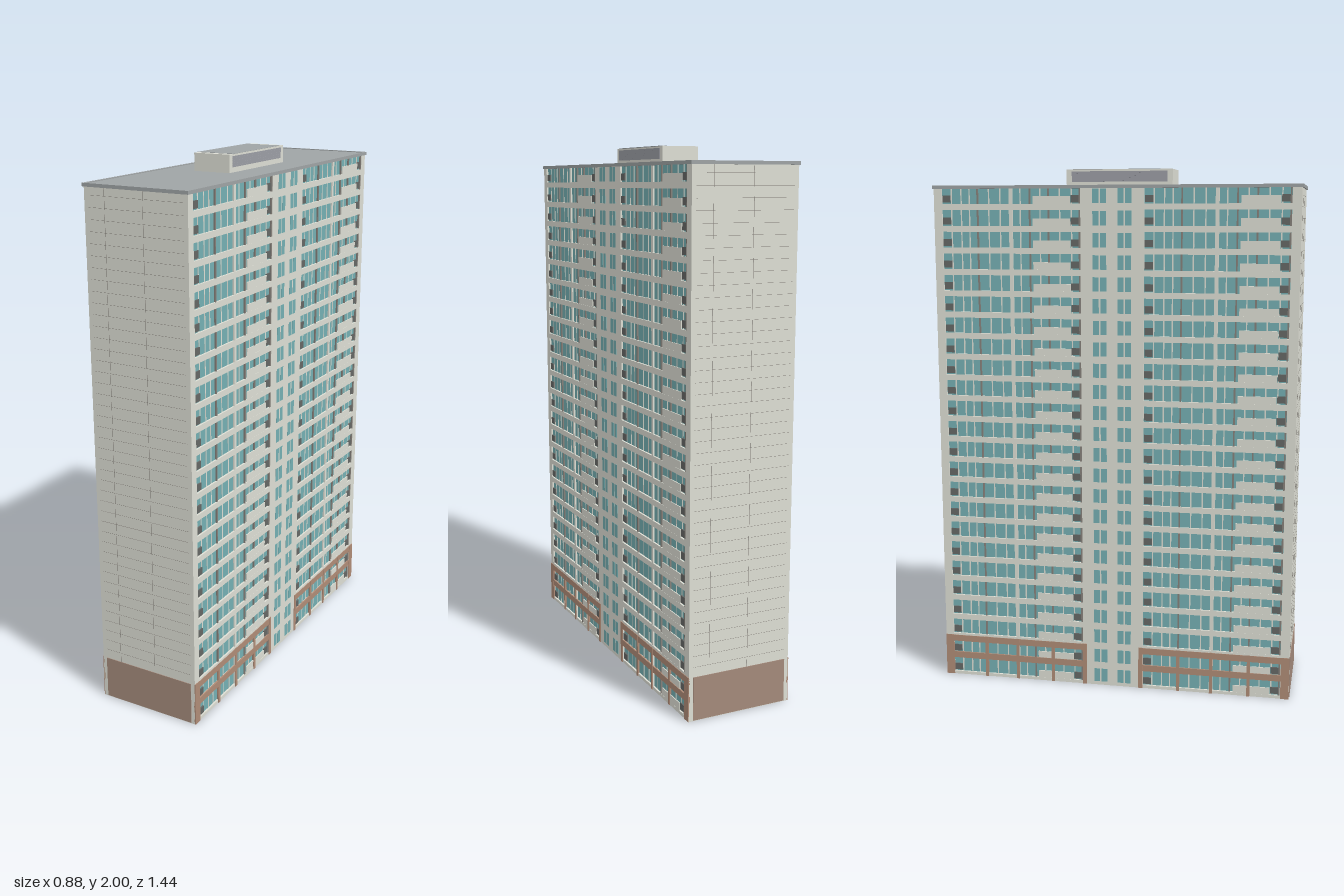
import * as THREE from 'three';
import { mergeGeometries } from 'three/addons/utils/BufferGeometryUtils.js';

const W = 0.405, L = 1.374, TOP = 1.926;     // body width, length, wall height
const FLOORS = 24, PITCH = 0.0808;
const RECESS = 0.008;                        // depth of the window bays
const FACE = W / 2;

const material = (name, color) => {
  const m = new THREE.MeshStandardMaterial({ color });
  m.name = name;
  return m;
};

// Box given by its lower and upper limits on each axis
function box(x0, x1, y0, y1, z0, z1) {
  const g = new THREE.BoxGeometry(x1 - x0, y1 - y0, z1 - z0);
  g.translate((x0 + x1) / 2, (y0 + y1) / 2, (z0 + z1) / 2);
  return g;
}

export function createModel() {
  const wall = material('pale wall', 0xdedfd5);
  const glass = material('teal glass', 0x75b0b3);
  const brick = material('brick base', 0xa48a7b);
  const timber = material('brown frame', 0xb08c77);
  const roofGrey = material('roof grey', 0x9fa4a5);
  const dark = material('dark grey', 0x666866);
  const fin = material('fin grey', 0x86817b);
  const louvre = material('louvre grey', 0x9c9ea5);

  const tower = new THREE.Group();
  tower.name = 'tower';
  const add = (parent, name, mat, boxes) => {
    const mesh = new THREE.Mesh(mergeGeometries(boxes), mat);
    mesh.name = name;
    parent.add(mesh);
  };

  // Solid core, standing behind the recessed bays
  const inner = FACE - RECESS;
  add(tower, 'core', wall, [box(-inner, inner, 0, TOP, -L / 2, L / 2)]);

  // One long facade with its gable end; the other is the same turned half round
  function side() {
    const g = new THREE.Group();
    const bands = [], panes = [], mullions = [], fins = [], parapets = [], units = [];
    const stairPanes = [], frames = [], piers = [];

    // Full-depth piers at the ends and the stair strip in the middle
    for (const [a, b] of [[-L / 2, -0.653], [-0.118, 0.121], [0.656, L / 2]]) {
      piers.push(box(inner, FACE, 0, TOP, a, b));
    }

    // Two bays with the same layout, measured from the +z end of each
    for (const start of [0.656, -0.118]) {
      const len = 0.535, end = start - len;
      panes.push(box(inner, inner + 0.001, 0, TOP, end, start));
      for (const d of [0.036, 0.074, 0.106, 0.182, 0.226, 0.304, 0.38, 0.455, 0.5]) {
        mullions.push(box(inner, inner + 0.002, 0, TOP, start - d - 0.0025, start - d + 0.0025));
      }
      // White column in the middle of the bay
      piers.push(box(inner, FACE - 0.001, 0, TOP, start - 0.275, start - 0.261));
      for (const d of [0.139, 0.341, 0.413, 0.531]) {
        fins.push(box(inner, FACE - 0.001, 0, TOP, start - d - 0.003, start - d + 0.003));
      }
      for (let i = 0; i <= FLOORS; i++) {
        const y = i * PITCH;
        bands.push(box(inner, FACE, Math.max(0, y - 0.01), Math.min(TOP, y + 0.012), end, start));
        if (i === FLOORS) continue;
        // Balcony parapet and cooling units
        parapets.push(box(FACE - 0.004, FACE - 0.0005, y + 0.012, y + 0.04, start - 0.496, start - 0.353));
        for (const d of [0.002, 0.498]) {
          units.push(box(inner, FACE - 0.002, y + 0.017, y + 0.043, start - d - 0.031, start - d));
        }
      }
      // Brown frame over the two lowest floors, wider at the building's corners
      const f0 = start > 0 ? L / 2 : start + 0.017;
      const f1 = start > 0 ? end - 0.015 : -L / 2;
      for (const y of [0.07, 0.14]) frames.push(box(FACE - 0.004, FACE + 0.002, y, y + 0.025, f1, f0));
      const corner = 0.032, plain = 0.016;
      frames.push(box(FACE - 0.004, FACE + 0.0025, 0, 0.166, f0 - (start > 0 ? corner : plain), f0));
      frames.push(box(FACE - 0.004, FACE + 0.0025, 0, 0.166, f1, f1 + (start > 0 ? plain : corner)));
      for (const d of [0.139, 0.268, 0.413]) {
        frames.push(box(FACE - 0.004, FACE + 0.0025, 0, 0.166, start - d - 0.006, start - d + 0.006));
      }
    }

    // Paired stair windows
    for (let i = 0; i < FLOORS; i++) {
      const y = i * PITCH;
      for (const z of [0.064, 0.035, -0.03, -0.059]) {
        stairPanes.push(box(FACE - 0.002, FACE + 0.0005, y + 0.014, y + 0.067, z - 0.0115, z + 0.0115));
      }
    }

    add(g, 'piers', wall, piers);
    add(g, 'floorBands', wall, bands);
    add(g, 'windows', glass, panes);
    add(g, 'mullions', wall, mullions);
    add(g, 'fins', fin, fins);
    add(g, 'balconyParapets', wall, parapets);
    add(g, 'coolingUnits', dark, units);
    add(g, 'stairWindows', glass, stairPanes);
    add(g, 'baseFrame', timber, frames);

    // Gable end: brick base and fine panel joints
    const z = L / 2, half = W * 0.46;
    add(g, 'gableBase', brick, [box(-half, half, 0.003, 0.165, z - 0.002, z + 0.0025)]);
    const joints = [];
    for (let i = 5; i < FLOORS * 2; i++) {
      const y = i * PITCH / 2;
      joints.push(box(-half, half, y - 0.0004, y + 0.0004, z - 0.001, z + 0.0005));
    }
    for (const x of [-0.6, 0.15]) {
      joints.push(box(x * FACE - 0.0005, x * FACE + 0.0005, 0.165, TOP, z - 0.001, z + 0.0005));
    }
    add(g, 'panelJoints', fin, joints);
    return g;
  }
  for (const [name, turn] of [['rightSide', 0], ['leftSide', Math.PI]]) {
    const s = side();
    s.name = name;
    s.rotation.y = turn;
    tower.add(s);
  }

  // Roof slab with a thin coping round it
  const rx = 0.2065, rz = 0.692, c = 0.009;
  add(tower, 'roof', roofGrey, [box(-rx + c, rx - c, TOP, 1.935, -rz + c, rz - c)]);
  const coping = [];
  for (const s of [-1, 1]) {
    const x = s * (rx - c / 2), z = s * (rz - c / 2);
    coping.push(box(x - c / 2, x + c / 2, TOP, 1.938, -rz, rz));
    coping.push(box(-rx + c, rx - c, TOP, 1.938, z - c / 2, z + c / 2));
  }
  add(tower, 'coping', roofGrey, coping);

  // Plant room with pale end walls, grey top and louvred sides
  const px = 0.073, pz = 0.203;
  add(tower, 'plantRoom', wall, [box(-px, px, 1.93, 1.999, -pz, pz)]);
  add(tower, 'plantRoomTop', roofGrey, [box(-px, px, 1.997, 2, -pz + 0.024, pz - 0.024)]);
  const panels = [], slats = [];
  for (const s of [-1, 1]) {
    const x = s * px;
    panels.push(box(x - 0.001, x + 0.001, 1.953, 1.992, -pz + 0.02, pz - 0.02));
    for (let k = 0; k < 4; k++) {
      const y = 1.958 + k * 0.009;
      slats.push(box(x - 0.002, x + 0.002, y, y + 0.001, -pz + 0.02, pz - 0.02));
    }
  }
  add(tower, 'louvrePanels', louvre, panels);
  add(tower, 'louvreSlats', louvre, slats);

  // The tower stands at an angle to the axes
  tower.rotation.y = -0.363;
  const model = new THREE.Group();
  model.name = 'apartmentTower';
  model.add(tower);
  return model;
}
